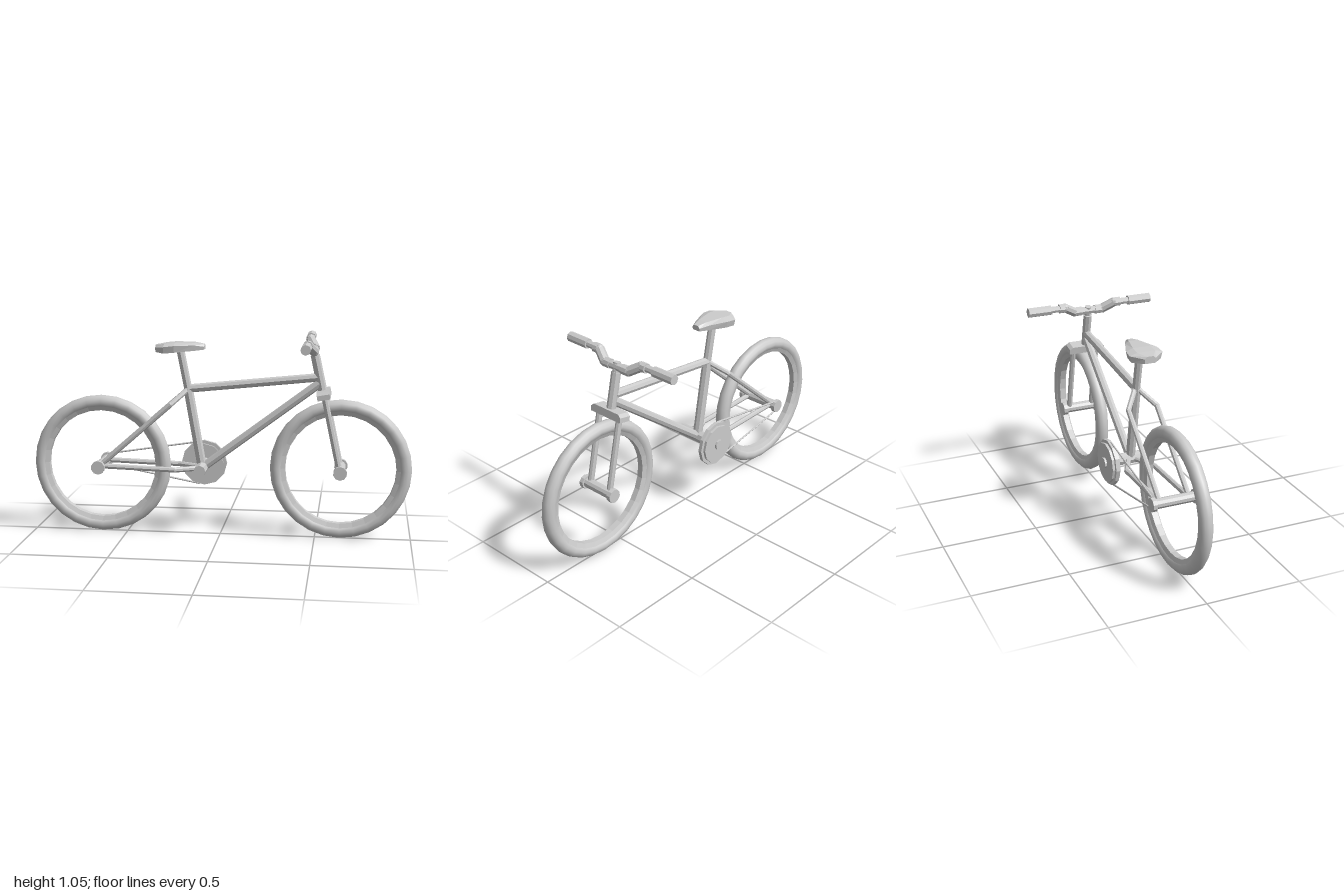
import * as THREE from 'three';

const material = new THREE.MeshStandardMaterial({ color: 0xcccccc, flatShading: true });
const smooth = new THREE.MeshStandardMaterial({ color: 0xcccccc });
const V = (p) => new THREE.Vector3(...p);

function add(parent, name, geometry, mat = material) {
  const mesh = new THREE.Mesh(geometry, mat);
  mesh.name = name;
  parent.add(mesh);
  return mesh;
}

// Faceted tube between two points
function rod(parent, name, a, b, r, sides = 8, rEnd = r) {
  const from = V(a), dir = V(b).sub(from);
  const mesh = add(parent, name, new THREE.CylinderGeometry(rEnd, r, dir.length(), sides));
  mesh.position.copy(from).addScaledVector(dir, 0.5);
  mesh.quaternion.setFromUnitVectors(new THREE.Vector3(0, 1, 0), dir.normalize());
  return mesh;
}

// Bent tube: straight runs with filled corners
function bentRod(parent, name, points, r) {
  const group = new THREE.Group();
  group.name = name;
  points.slice(1).forEach((p, i) => {
    rod(group, name + 'Run', points[i], p, r);
    if (i > 0) add(group, name + 'Bend', new THREE.SphereGeometry(r, 8, 6)).position.set(...points[i]);
  });
  parent.add(group);
}

// Disc or drum lying across the bike, from z0 to z1
const drum = (parent, name, x, y, z0, z1, r, sides = 10) =>
  rod(parent, name, [x, y, z0], [x, y, z1], r, sides);

function wheel(name, x, halfHub) {
  const group = new THREE.Group();
  group.name = name;
  add(group, 'tire', new THREE.TorusGeometry(0.333, 0.035, 12, 28), smooth);
  const profile = [[0.288, -0.016], [0.312, -0.026], [0.312, 0.026], [0.288, 0.016], [0.288, -0.016]];
  const rim = add(group, 'rim', new THREE.LatheGeometry(profile.map(p => new THREE.Vector2(...p)), 28),
    new THREE.MeshStandardMaterial({ color: 0xcccccc, flatShading: true, side: THREE.DoubleSide }));
  rim.rotation.x = Math.PI / 2;
  drum(group, 'hub', 0, 0, -halfHub, halfHub, 0.026);
  for (const s of [-1, 1]) drum(group, 'axleCap', 0, 0, s * (halfHub - 0.022), s * halfHub, 0.036);
  group.position.set(x, 0.37, 0);
  return group;
}

// Saddle: lofted from cross-sections [x, half width, bottom, top]
function saddleGeometry() {
  const sections = [[-0.335, 0.03, 0.972, 1.008], [-0.285, 0.088, 0.97, 1.016], [-0.23, 0.084, 0.975, 1.022],
    [-0.13, 0.045, 0.982, 1.022], [-0.08, 0.024, 0.987, 1.014]];
  const pos = [], index = [], n = 6;
  for (const [x, w, lo, hi] of sections) {
    const mid = hi - 0.012;
    pos.push(x, lo, -w * 0.9, x, mid, -w, x, hi, -w * 0.55, x, hi, w * 0.55, x, mid, w, x, lo, w * 0.9);
  }
  for (let i = 0; i < sections.length - 1; i++)
    for (let j = 0; j < n; j++) {
      const a = i * n + j, b = i * n + (j + 1) % n;
      index.push(a, b, a + n, b, b + n, a + n);
    }
  const last = (sections.length - 1) * n;
  for (let j = 1; j < n - 1; j++) index.push(0, j + 1, j, last, last + j, last + j + 1);
  const g = new THREE.BufferGeometry();
  g.setAttribute('position', new THREE.Float32BufferAttribute(pos, 3));
  g.setIndex(index);
  g.computeVertexNormals();
  return g;
}

export function createModel() {
  const bike = new THREE.Group();
  bike.name = 'bicycle';
  bike.add(wheel('rearWheel', -0.63, 0.125), wheel('frontWheel', 0.63, 0.107));

  // Main frame
  const frame = new THREE.Group();
  frame.name = 'frame';
  bike.add(frame);
  const bottom = [-0.095, 0.36, 0], seatJoint = [-0.168, 0.78, 0];
  rod(frame, 'seatTube', bottom, seatJoint, 0.025);
  rod(frame, 'topTube', seatJoint, [0.505, 0.85, 0], 0.022);
  rod(frame, 'downTube', bottom, [0.515, 0.82, 0], 0.023);
  rod(frame, 'headTube', [0.49, 0.965, 0], [0.532, 0.775, 0], 0.024);
  rod(frame, 'seatPost', seatJoint, [-0.208, 0.985, 0], 0.021);
  drum(frame, 'bottomBracket', -0.095, 0.362, -0.105, 0.112, 0.032, 8);
  for (const s of [-1, 1]) {
    const axle = [-0.63, 0.372, s * 0.078];
    bentRod(frame, 'chainStay', [axle, [-0.23, 0.36, s * 0.078], [-0.105, 0.36, s * 0.015]], 0.014);
    bentRod(frame, 'seatStay', [axle, [-0.25, 0.705, s * 0.078], [-0.17, 0.775, s * 0.01]], 0.014);
  }

  // Saddle
  add(bike, 'saddle', saddleGeometry());

  // Fork: chamfered crown and two legs
  const fork = new THREE.Group();
  fork.name = 'fork';
  bike.add(fork);
  const outline = new THREE.Shape([[-0.1, -0.02], [0.1, -0.02], [0.1, 0.006], [0.083, 0.02], [-0.083, 0.02], [-0.1, 0.006]]
    .map(p => new THREE.Vector2(...p)));
  const crownGeometry = new THREE.ExtrudeGeometry(outline, { depth: 0.066, bevelEnabled: false });
  crownGeometry.translate(0, 0, -0.033).rotateY(Math.PI / 2);
  const crown = add(fork, 'forkCrown', crownGeometry);
  crown.position.set(0.538, 0.767, 0);
  crown.rotation.z = 0.18;
  for (const s of [-1, 1]) rod(fork, 'forkLeg', [0.543, 0.76, s * 0.067], [0.627, 0.372, s * 0.067], 0.016);

  // Stem and handlebar
  const bars = new THREE.Group();
  bars.name = 'handlebar';
  bike.add(bars);
  rod(bars, 'stem', [0.497, 0.94, 0], [0.482, 1.015, 0], 0.018);
  drum(bars, 'stemClamp', 0.486, 0.993, -0.045, 0.045, 0.021, 8);
  for (const s of [-1, 1]) {
    bentRod(bars, 'barBend', [[0.486, 0.993, s * 0.038], [0.486, 0.993, s * 0.08],
      [0.46, 1.03, s * 0.142], [0.46, 1.03, s * 0.175]], 0.025);
    drum(bars, 'barEnd', 0.458, 1.03, s * 0.17, s * 0.23, 0.018, 8);
    drum(bars, 'grip', 0.458, 1.03, s * 0.222, s * 0.35, 0.026, 8);
  }

  // Drivetrain on the right side
  const drive = new THREE.Group();
  drive.name = 'drivetrain';
  bike.add(drive);
  drum(drive, 'chainring', -0.1, 0.362, -0.112, -0.131, 0.122, 12);
  drum(drive, 'chainringPlate', -0.1, 0.362, -0.101, -0.144, 0.105, 12);
  drum(drive, 'crankCap', -0.1, 0.362, -0.14, -0.155, 0.028);
  drum(drive, 'sprocket', -0.63, 0.37, -0.1, -0.116, 0.032);
  rod(drive, 'upperChain', [-0.63, 0.398, -0.112], [-0.115, 0.478, -0.116], 0.005, 6);
  rod(drive, 'lowerChain', [-0.63, 0.342, -0.112], [-0.125, 0.246, -0.116], 0.005, 6);
  return bike;
}
